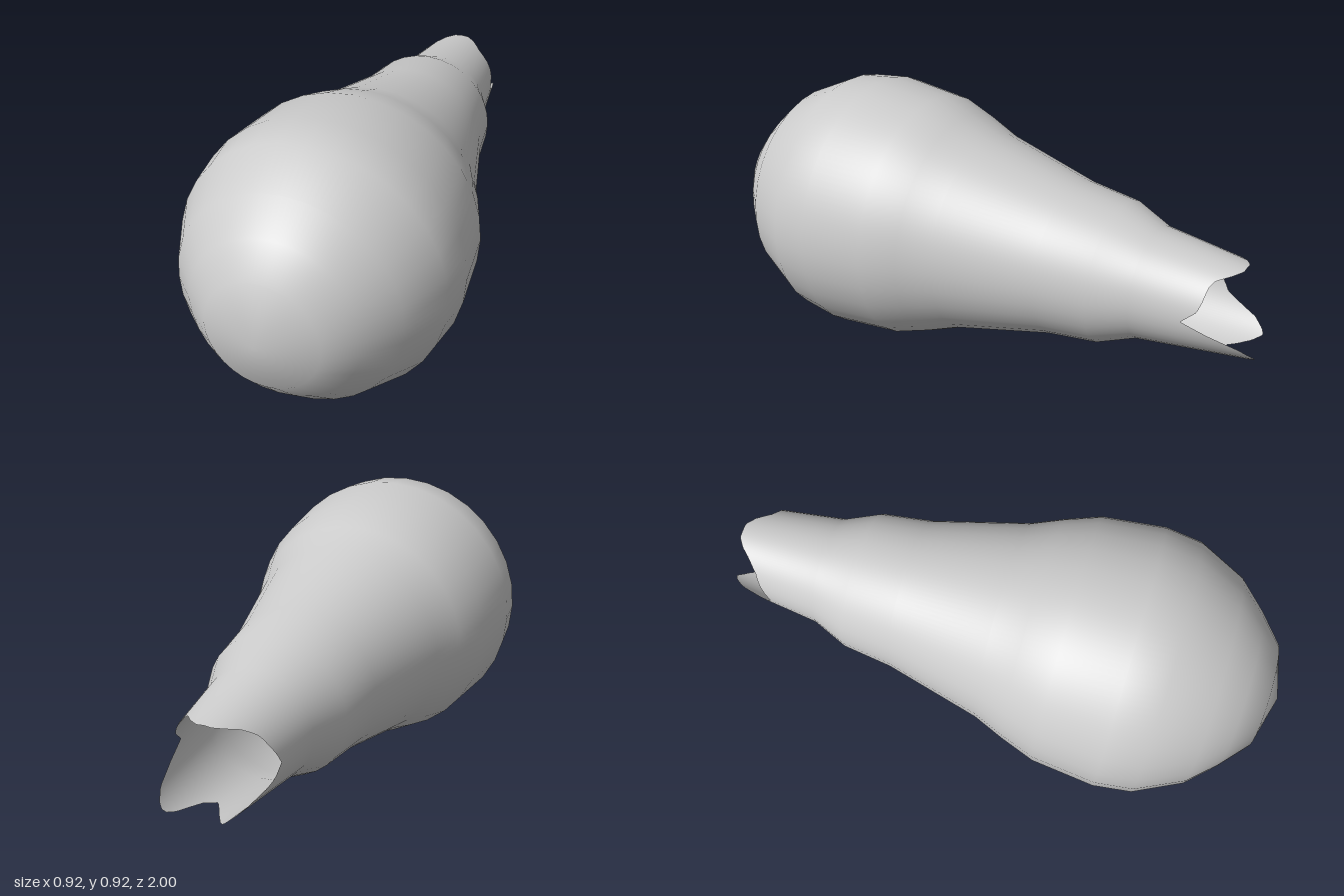
import * as THREE from 'three';

const SIDES = 32, SUB = 4;   // 32-sided body, each side split finely for the torn rim
const CENTRE_Y = 0.46;

// Body profile from the neck to the nose: [radius, z]
const PROFILE = [
  [0.19, -0.605], [0.243, -0.48], [0.266, -0.305], [0.35, 0.03], [0.395, 0.14], [0.437, 0.26],
  [0.46, 0.48], [0.443, 0.61], [0.365, 0.77], [0.275, 0.865], [0.183, 0.947], [0, 1],
];

// Torn rim: [angle in degrees from the left (+x) towards the top, z]
const RIM = [
  [0, -0.775], [15, -0.82], [28, -0.83], [45, -0.835], [54, -0.845], [67, -0.885], [80, -0.91],
  [100, -0.91], [112, -0.89], [123, -0.86], [140, -0.825], [155, -0.81], [180, -0.775],
  [198, -0.81], [217, -0.92], [230, -0.955], [238, -0.965], [250, -0.935], [262, -0.89],
  [278, -0.82], [290, -0.86], [302, -0.96], [309, -0.993], [316, -1], [323, -0.99],
  [336, -0.95], [350, -0.85], [360, -0.775],
];

function rimZ(angle) {
  const deg = (THREE.MathUtils.radToDeg(angle) + 360) % 360;
  const i = Math.max(1, RIM.findIndex(([a]) => a >= deg));
  const [a0, z0] = RIM[i - 1], [a1, z1] = RIM[i];
  return THREE.MathUtils.lerp(z0, z1, (deg - a0) / (a1 - a0));
}

export function createModel() {
  const group = new THREE.Group();
  group.name = 'hollowBulb';

  // Lathe lying along z, with the rim as its first ring
  const points = [[0.15, -0.9], ...PROFILE].map(([r, z]) => new THREE.Vector2(r, z));
  const geometry = new THREE.LatheGeometry(points, SIDES * SUB);
  geometry.rotateX(Math.PI / 2);

  const pos = geometry.attributes.position, normal = geometry.attributes.normal;
  const step = (2 * Math.PI) / SIDES;
  for (let i = 0; i < pos.count; i++) {
    const ring = i % points.length;
    const angle = Math.atan2(pos.getY(i), pos.getX(i));
    let r = points[ring].x, z = points[ring].y;
    // Ragged edge, continuing the taper of the neck
    if (ring === 0) {
      z = rimZ(angle);
      r = 0.19 + (z + 0.605) * 0.13;
    }
    // Flatten the fine divisions onto the 32 straight sides
    const off = angle - (Math.floor(angle / step + 1e-6) + 0.5) * step;
    r *= Math.cos(step / 2) / Math.cos(off);
    pos.setXYZ(i, r * Math.cos(angle), r * Math.sin(angle) + CENTRE_Y, z);
    if (ring === points.length - 1) normal.setXYZ(i, 0, 0, 1);
  }

  const shell = new THREE.Mesh(
    geometry,
    new THREE.MeshStandardMaterial({ color: 0xcccccc, side: THREE.DoubleSide }),
  );
  shell.name = 'bulbShell';
  group.add(shell);
  return group;
}
